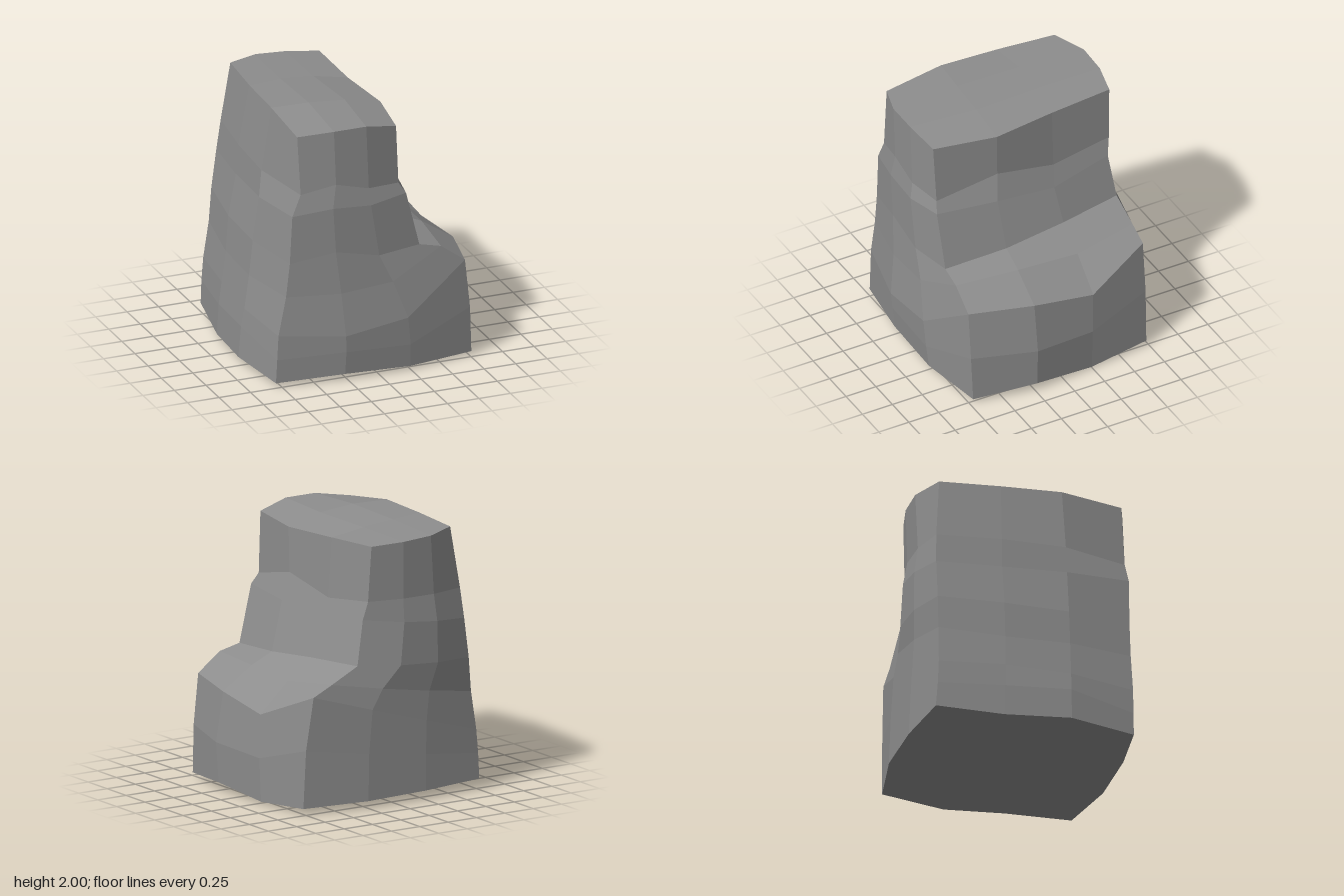
import * as THREE from 'three';

// Corner outline per level: [frontLeft x,y, frontRight x,y, backRight x,y, backLeft x,y]
const CORNERS = [
  [-0.79, 0.03, 0.765, 0.03, 0.76, 0.045, -0.76, 0.08],
  [-0.78, 0.21, 0.75, 0.39, 0.74, 0.48, -0.76, 0.27],
  [-0.77, 0.40, 0.71, 0.77, 0.68, 0.875, -0.75, 0.45],
  [-0.71, 0.70, 0.52, 0.91, 0.52, 0.95, -0.71, 0.74],
  [-0.68, 0.96, 0.35, 0.95, 0.29, 1.06, -0.69, 1.00],
  [-0.66, 1.33, 0.24, 1.38, 0.22, 1.39, -0.65, 1.30],
  [-0.59, 1.49, 0.19, 1.46, 0.19, 1.53, -0.62, 1.53],
  [-0.605, 1.94, 0.165, 1.92, 0.17, 1.945, -0.56, 1.99],
];
// Depth of the corners per level: frontLeft, frontRight, backRight, backLeft
const CORNER_Z = [
  [0.73, 0.72, -0.73, -0.775],
  [0.73, 0.73, -0.735, -0.76],
  [0.73, 0.73, -0.745, -0.75],
  [0.73, 0.73, -0.745, -0.74],
  [0.73, 0.725, -0.74, -0.74],
  [0.73, 0.735, -0.705, -0.74],
  [0.72, 0.71, -0.73, -0.73],
  [0.69, 0.725, -0.745, -0.69],
];
// Heights of the two inner points on the front, right and left sides of each level
const MID_Y = [
  [0.05, 0.03, 0.065, 0.01, 0.04, 0.06],
  [0.23, 0.21, 0.37, 0.34, 0.28, 0.30],
  [0.36, 0.43, 0.745, 0.67, 0.46, 0.44],
  [0.69, 0.72, 0.91, 0.89, 0.70, 0.70],
  [1.02, 0.94, 0.99, 1.04, 0.98, 0.97],
  [1.37, 1.35, 1.36, 1.31, 1.30, 1.31],
  [1.55, 1.48, 1.57, 1.47, 1.53, 1.52],
  [1.975, 1.975, 1.91, 1.92, 1.995, 2.0],
];
// Reach of the swollen sides per level: right x (two), left x (two), front z, back z
const REACH = [
  [0.86, 0.81, -0.84, -0.88, 0.805, -0.83],
  [0.88, 0.825, -0.83, -0.86, 0.825, -0.82],
  [0.82, 0.82, -0.81, -0.835, 0.835, -0.81],
  [0.57, 0.58, -0.78, -0.80, 0.80, -0.805],
  [0.39, 0.37, -0.76, -0.77, 0.785, -0.825],
  [0.29, 0.28, -0.70, -0.72, 0.79, -0.82],
  [0.24, 0.22, -0.68, -0.70, 0.77, -0.79],
  [0.245, 0.19, -0.60, -0.62, 0.775, -0.80],
];

// One closed level: four sides of three segments, counter-clockwise from above
function makeRing(level) {
  const c = CORNERS[level];
  const corner = CORNER_Z[level].map((z, k) => new THREE.Vector3(c[2 * k], c[2 * k + 1], z));
  const [frontY1, frontY2, rightY1, rightY2, leftY1, leftY2] = MID_Y[level];
  const [right1, right2, left1, left2, front, back] = REACH[level];
  const mids = [
    [{ y: frontY1, z: front }, { y: frontY2, z: front }],
    [{ x: right1, y: rightY1 }, { x: right2, y: rightY2 }],
    [{ z: back }, { z: back }],
    [{ x: left1, y: leftY1 }, { x: left2, y: leftY2 }],
  ];
  return mids.flatMap((pair, s) => [
    corner[s],
    ...pair.map((m, j) => Object.assign(corner[s].clone().lerp(corner[(s + 1) % 4], (j + 1) / 3), m)),
  ]);
}

// Fill a level with a 4 x 4 grid blended from its edges; lift shifts the middle
function makeCap(ring, lift) {
  const grid = [];
  for (let j = 0; j < 4; j++) {
    const v = j / 3;
    const row = [];
    for (let i = 0; i < 4; i++) {
      const u = i / 3;
      const p = new THREE.Vector3();
      p.addScaledVector(ring[i], 1 - v).addScaledVector(ring[9 - i], v);
      p.addScaledVector(ring[(12 - j) % 12], 1 - u).addScaledVector(ring[3 + j], u);
      p.addScaledVector(ring[0], -(1 - u) * (1 - v)).addScaledVector(ring[3], -u * (1 - v));
      p.addScaledVector(ring[6], -u * v).addScaledVector(ring[9], -(1 - u) * v);
      if (i % 3 && j % 3) p.y += lift;
      row.push(p);
    }
    grid.push(row);
  }
  return grid;
}

export function createModel() {
  const rings = CORNERS.map((_, level) => makeRing(level));
  const positions = [];
  const normals = [];

  // Each four-sided facet is shaded as one flat plane
  const quad = (a, b, c, d) => {
    const n = c.clone().sub(a).cross(d.clone().sub(b)).normalize();
    for (const p of [a, b, c, a, c, d]) {
      positions.push(p.x, p.y, p.z);
      normals.push(n.x, n.y, n.z);
    }
  };

  // Walls and step, joined level by level
  for (let r = 0; r < rings.length - 1; r++) {
    for (let i = 0; i < 12; i++) {
      const n = (i + 1) % 12;
      quad(rings[r][i], rings[r][n], rings[r + 1][n], rings[r + 1][i]);
    }
  }

  // Top and underside
  const top = makeCap(rings[7], 0.005);
  const base = makeCap(rings[0], -0.02);
  base[1][1].y = 0;
  for (let j = 0; j < 3; j++) {
    for (let i = 0; i < 3; i++) {
      quad(top[j][i], top[j][i + 1], top[j + 1][i + 1], top[j + 1][i]);
      quad(base[j][i], base[j + 1][i], base[j + 1][i + 1], base[j][i + 1]);
    }
  }

  const geometry = new THREE.BufferGeometry();
  geometry.setAttribute('position', new THREE.Float32BufferAttribute(positions, 3));
  geometry.setAttribute('normal', new THREE.Float32BufferAttribute(normals, 3));

  const rock = new THREE.Mesh(geometry, new THREE.MeshStandardMaterial({ color: 0x8d8d8d }));
  rock.name = 'steppedRock';
  const group = new THREE.Group();
  group.name = 'rock';
  group.add(rock);
  return group;
}
